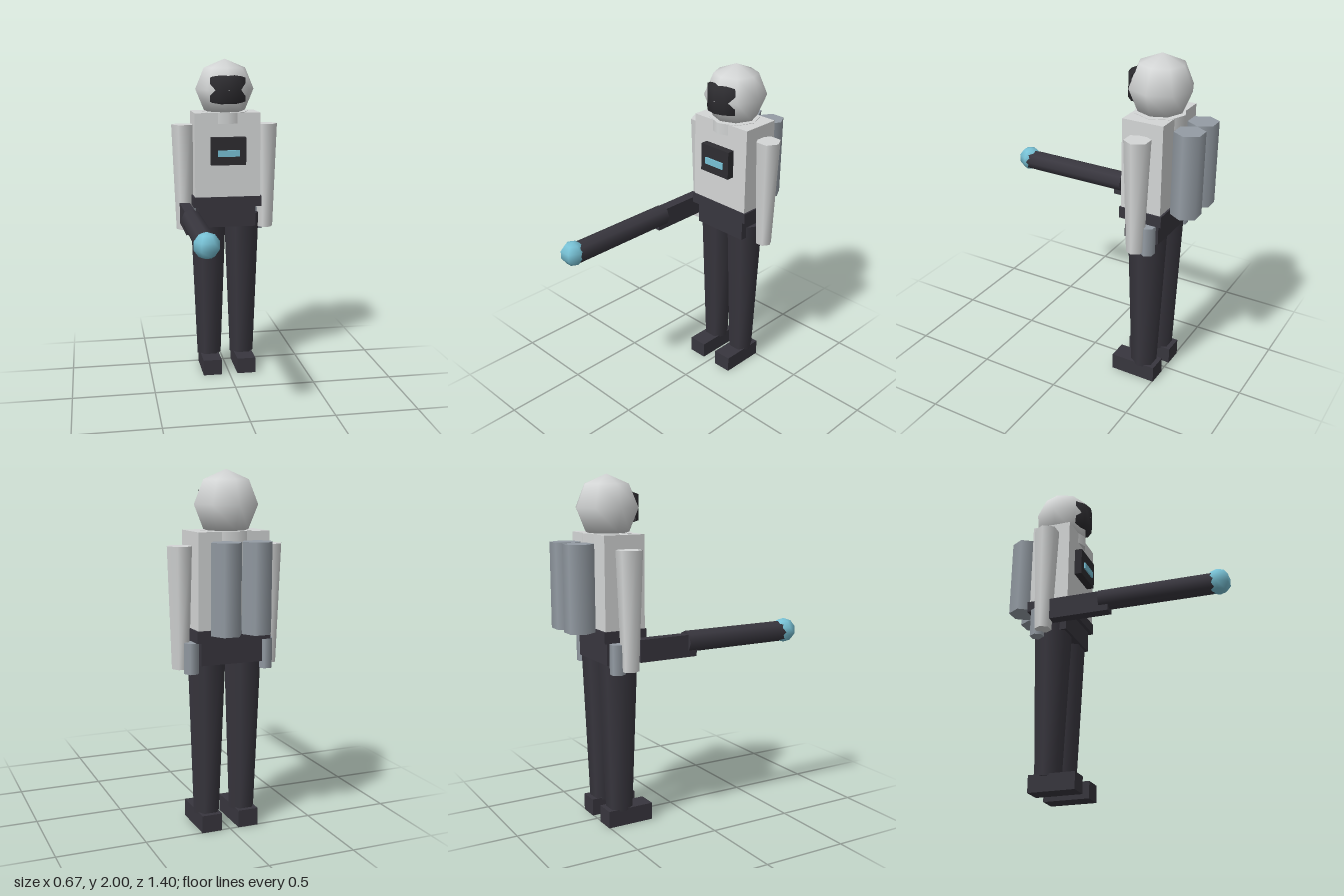
import * as THREE from 'three';

const mat = (name, color) => {
  const m = new THREE.MeshStandardMaterial({ color });
  m.name = name;
  return m;
};

export function createModel() {
  const suit = mat('light suit grey', 0xd4d6d6);
  const dark = mat('dark fabric', 0x38363e);
  const black = mat('dark glass', 0x2e2d31);
  const steel = mat('tank grey', 0x949ca4);
  const glow = mat('cyan glow', 0x78c2d6);
  black.side = THREE.DoubleSide;

  const group = new THREE.Group();
  const Z = -0.41; // depth of the body's centre line

  const add = (name, geometry, material, x, y, z) => {
    const mesh = new THREE.Mesh(geometry, material);
    mesh.name = name;
    mesh.position.set(x, y, z);
    group.add(mesh);
    return mesh;
  };
  // box given by its width, y range and z range
  const box = (name, material, x, w, y0, y1, z0, z1) =>
    add(name, new THREE.BoxGeometry(w, y1 - y0, z1 - z0), material, x, (y0 + y1) / 2, (z0 + z1) / 2);
  // upright six-sided column with corners towards the sides
  const column = (name, material, x, z, rTop, rBottom, y0, y1) =>
    add(name, new THREE.CylinderGeometry(rTop, rBottom, y1 - y0, 6).rotateY(Math.PI / 6),
      material, x, (y0 + y1) / 2, z);

  // helmet, visor and collar
  add('helmet', new THREE.SphereGeometry(0.184, 8, 4), suit, 0, 1.817, Z);
  const profile = [[0, -0.098], [0.07, -0.094], [0.13, -0.072], [0.13, 0.072], [0.07, 0.094], [0, 0.098]]
    .map(([r, y]) => new THREE.Vector2(r, y));
  add('visor', new THREE.LatheGeometry(profile, 4, -1, 2), black, 0, 1.817, Z + 0.053);
  add('collar', new THREE.CylinderGeometry(0.149, 0.149, 0.068, 8), suit, 0, 1.645, Z);

  // torso, belt and hips
  box('torso', suit, 0, 0.41, 1.15, 1.677, -0.529, -0.286);
  box('belt', dark, 0, 0.43, 1.09, 1.155, -0.54, -0.28);
  box('hips', dark, 0, 0.36, 0.96, 1.09, -0.51, -0.30);

  // chest panel with its screen
  box('chestPanel', black, 0, 0.216, 1.36, 1.53, -0.29, -0.24);
  box('chestScreen', glow, 0, 0.136, 1.413, 1.453, -0.24, -0.231);

  // paired limbs, tanks and hip canisters
  for (const [side, s] of [['left', 1], ['right', -1]]) {
    column(side + 'Arm', suit, s * 0.263, Z, 0.074, 0.049, 0.935, 1.6);
    column(side + 'Leg', dark, s * 0.108, Z, 0.113, 0.077, 0.09, 1.03);
    box(side + 'Foot', dark, s * 0.11, 0.118, 0, 0.1, -0.505, -0.225);
    column(side + 'BackTank', steel, s * 0.0875, -0.628, 0.0865, 0.0865, 1.145, 1.63);
    column(side + 'HipCanister', steel, s * 0.219, -0.465, 0.044, 0.044, 0.915, 1.085);
  }

  // long gun held in the right hand
  box('gunBody', dark, -0.263, 0.065, 0.983, 1.11, -0.36, 0);
  add('gunBarrel', new THREE.CylinderGeometry(0.062, 0.062, 0.695, 8).rotateX(Math.PI / 2),
    dark, -0.258, 1.066, 0.292);
  add('gunTip', new THREE.SphereGeometry(0.073, 6, 5), glow, -0.262, 1.07, 0.64);

  return group;
}
